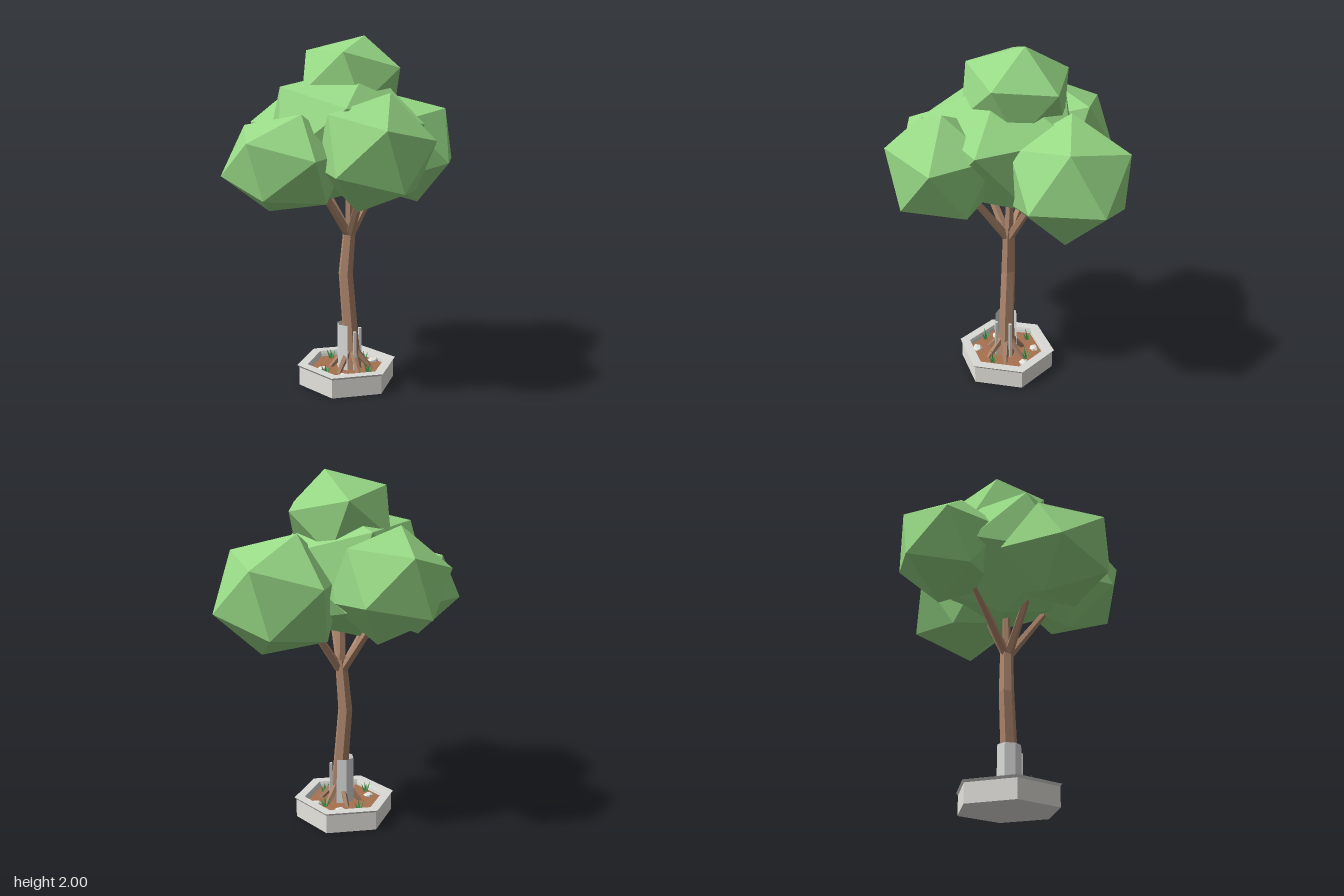
import * as THREE from 'three';

const V = (x, y, z) => new THREE.Vector3(x, y, z);
const paint = (name, color) => Object.assign(new THREE.MeshStandardMaterial({ color }), { name });

export function createModel() {
  const model = new THREE.Group();
  const leaf = paint('leaf green', 0x98da86);
  const bark = paint('bark brown', 0xae876d);
  const stone = paint('planter stone', 0xe8e6e0);
  const rimStone = paint('rim stone', 0xdadad6);
  const guardGrey = paint('guard grey', 0xdcdedc);
  const soilBrown = paint('soil brown', 0xa8714f);
  const pebble = paint('pebble white', 0xe4e4de);
  const grassGreen = paint('grass green', 0x57a558);
  guardGrey.side = grassGreen.side = THREE.DoubleSide;

  // Every part is faceted
  const facet = (geo) => {
    const flat = geo.index ? geo.toNonIndexed() : geo;
    flat.computeVertexNormals();
    return flat;
  };
  const add = (name, geo, material, parent = model) => {
    const mesh = new THREE.Mesh(facet(geo), material);
    mesh.name = name;
    parent.add(mesh);
    return mesh;
  };
  const group = (name) => {
    const g = new THREE.Group();
    g.name = name;
    model.add(g);
    return g;
  };

  // Tapered limb between two points
  const limb = (name, from, to, r0, r1, parent) => {
    const dir = to.clone().sub(from);
    const mesh = add(name, new THREE.CylinderGeometry(r1, r0, dir.length(), 5), bark, parent);
    mesh.position.copy(from).add(to).multiplyScalar(0.5);
    mesh.quaternion.setFromUnitVectors(V(0, 1, 0), dir.normalize());
  };

  // Icosahedron turned so that two neighbouring corners point at two given points
  const frame = (a, b) => {
    const z = a.clone().cross(b).normalize();
    return new THREE.Matrix4().makeBasis(a, z.clone().cross(a), z);
  };
  const t = (1 + Math.sqrt(5)) / 2;
  const home = frame(V(-1, t, 0).normalize(), V(1, t, 0).normalize()).invert();
  const crown = group('crown');
  const clump = (name, centre, r, ry, corner, neighbour) => {
    const size = V(r, ry, r);
    const aim = (p) => V(...p).sub(V(...centre)).divide(size).normalize();
    const geo = new THREE.IcosahedronGeometry(1, 0);
    geo.applyMatrix4(frame(aim(corner), aim(neighbour)).multiply(home));
    geo.scale(r, ry, r).translate(...centre);
    add(name, geo, leaf, crown);
  };
  clump('topClump', [0.03, 1.735, -0.05], 0.325, 0.274, [0.12, 2, -0.07], [0.03, 1.825, -0.33]);
  clump('middleClump', [-0.02, 1.45, 0], 0.48, 0.4, [-0.42, 1.75, 0.03], [-0.21, 1.68, 0.39]);
  clump('frontClump', [0.06, 1.378, 0.36], 0.335, 0.32, [0.044, 1.51, 0.66], [0.14, 1.67, 0.355]);
  clump('leftClump', [0.385, 1.355, -0.22], 0.36, 0.34, [0.655, 1.615, -0.11], [0.7, 1.3, -0.265]);
  clump('rightClump', [-0.38, 1.315, 0.19], 0.345, 0.28, [-0.6, 1.44, 0.395], [-0.32, 1.57, 0.285]);
  clump('backClump', [-0.17, 1.42, -0.375], 0.335, 0.31, [-0.235, 1.6, -0.666], [-0.23, 1.69, -0.305]);

  // Bent six-sided trunk: centre x, y, z and radius per ring, top first
  const rings = [[0.025, 0.95, -0.02, 0.036], [0, 0.65, -0.024, 0.043],
    [0.02, 0.35, -0.008, 0.046], [0.035, 0.07, 0, 0.056]];
  const trunk = new THREE.CylinderGeometry(1, 1, 1, 6, 3, true);
  const pos = trunk.attributes.position;
  for (let i = 0; i < pos.count; i++) {
    const [x, y, z, r] = rings[Math.round((0.5 - pos.getY(i)) * 3)];
    pos.setXYZ(i, x + pos.getX(i) * r, y, z + pos.getZ(i) * r);
  }
  add('trunk', trunk, bark);

  // Branches and roots
  const branches = group('branches');
  for (const [x, y, z] of [[-0.2, 1.22, 0.08], [0.24, 1.22, -0.11], [0.04, 1.22, 0.24],
    [-0.17, 1.3, -0.28], [0.02, 1.3, -0.03]]) {
    limb('branch', V(0.02, 0.87, -0.018), V(x, y, z), 0.027, 0.019, branches);
  }
  const roots = group('roots');
  for (let i = 0; i < 6; i++) {
    const a = i * Math.PI / 3 + 0.35;
    const c = Math.cos(a), s = Math.sin(a);
    limb('root', V(0.025 + 0.03 * c, 0.19, 0.03 * s), V(0.025 + 0.125 * c, 0.075, 0.125 * s), 0.022, 0.013, roots);
  }

  // Guard wrapped round the back of the trunk, with two slim stakes
  const guard = group('trunkGuard');
  const shell = new THREE.CylinderGeometry(0.066, 0.07, 0.28, 4, 1, true, Math.PI * 0.78, Math.PI * 1.12);
  add('guardShell', shell.translate(0.013, 0.215, -0.008), guardGrey, guard);
  for (const [x, z] of [[0.033, 0.062], [0.082, -0.01]]) {
    add('stake', new THREE.BoxGeometry(0.016, 0.24, 0.016).translate(x, 0.2, z), guardGrey, guard);
  }

  // Hexagonal planter
  const planter = group('planter');
  planter.position.set(0.004, 0, -0.014);
  const hex = (points) => new THREE.LatheGeometry(
    points.map(([x, y]) => new THREE.Vector2(x, y)), 6, Math.PI / 6);
  add('planterWall', hex([[0, 0], [0.284, 0], [0.284, 0.107]]), stone, planter);
  add('planterRim', hex([[0.284, 0.107], [0.295, 0.12], [0.235, 0.12], [0.228, 0.105], [0.222, 0.08]]), rimStone, planter);
  const soil = new THREE.CylinderGeometry(0.23, 0.23, 0.02, 6).rotateY(Math.PI / 6);
  add('soil', soil.translate(0, 0.078, 0), soilBrown, planter);

  // Pebbles on the soil
  for (const [x, z, r] of [[-0.06, 0.17, 0.03], [0.175, -0.05, 0.03], [-0.15, 0.02, 0.026], [0.05, -0.16, 0.028]]) {
    const geo = new THREE.IcosahedronGeometry(r, 0).rotateY(x * 20).scale(1.2, 0.65, 1);
    add('pebble', geo.translate(x, 0.093, z), pebble, planter);
  }

  // Grass tufts made of a few leaning blades
  for (const [x, z] of [[-0.145, 0.09], [0.125, -0.08], [0.1, 0.12], [-0.06, -0.155]]) {
    const tuft = new THREE.Group();
    tuft.name = 'grassTuft';
    tuft.position.set(x, 0.085, z);
    planter.add(tuft);
    for (let i = 0; i < 4; i++) {
      const height = 0.055 + 0.008 * (i % 3);
      const blade = new THREE.ConeGeometry(0.009, height, 3).translate(0, height / 2, 0);
      add('blade', blade.rotateZ(-0.35).translate(0.006, 0, 0).rotateY(i * 1.571), grassGreen, tuft);
    }
  }
  return model;
}
